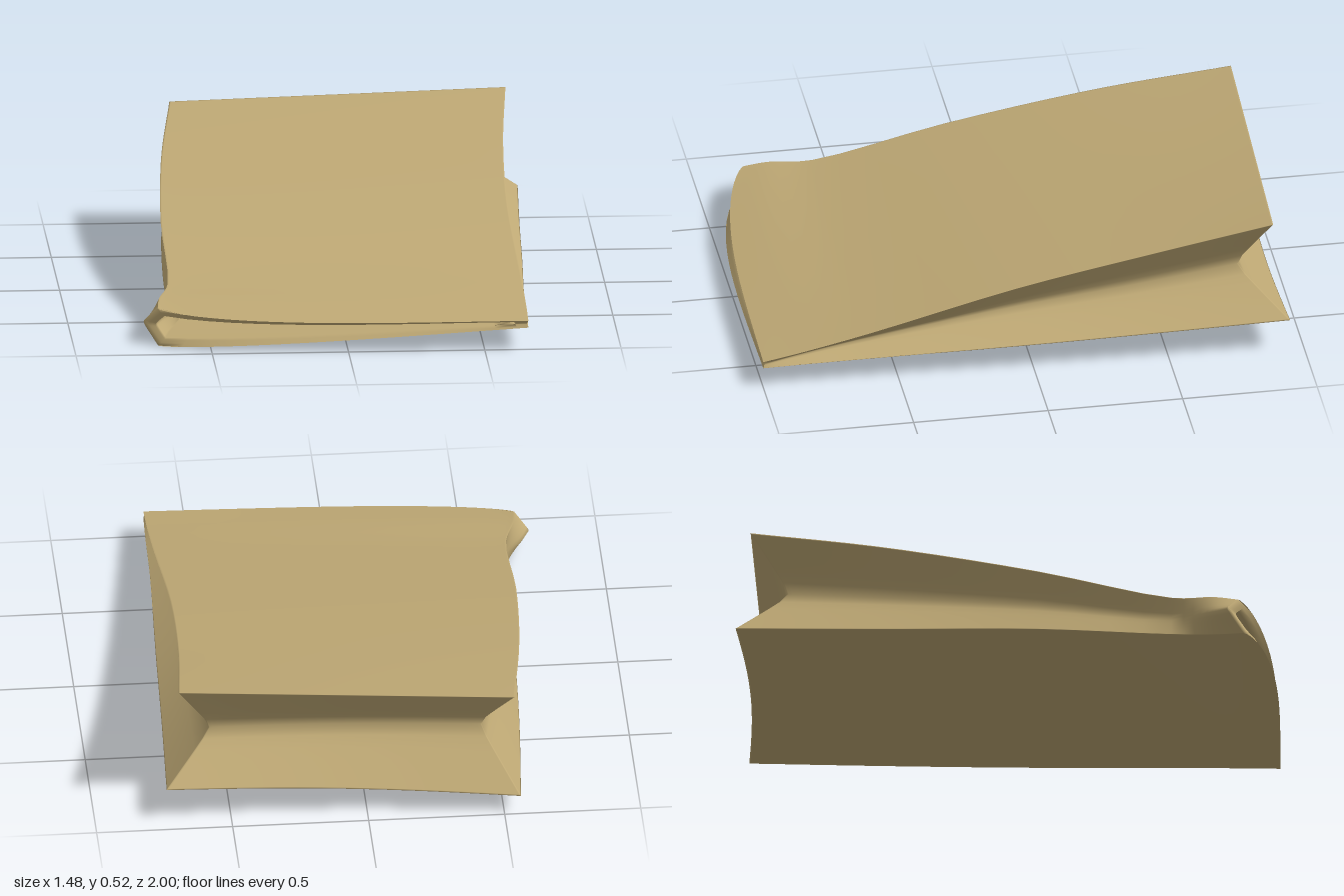
import * as THREE from 'three';
import { mergeVertices } from 'three/addons/utils/BufferGeometryUtils.js';
import { ParametricGeometry } from 'three/addons/geometries/ParametricGeometry.js';

const rail = (...pts) => new THREE.CatmullRomCurve3(pts.map(p => new THREE.Vector3(...p)));

// Edge and fold lines, each from the mouth (front) to the folded base (back): top, fold, bottom
const RIGHT_SIDE = [ // -x
  rail([-.69, .14, .84], [-.68, .155, .75], [-.64, .17, .6], [-.635, .28, .1], [-.6, .39, -.45], [-.54, .475, -.945]),
  rail([-.74, .08, .8], [-.71, .08, .74], [-.62, .1, .6], [-.57, .17, .1], [-.5, .23, -.4], [-.43, .28, -.81]),
  rail([-.69, .004, .86], [-.67, .008, .76], [-.635, .025, .6], [-.625, .05, .1], [-.6, .06, -.45], [-.56, .08, -1]),
];
const LEFT_SIDE = [ // +x
  rail([.66, .112, 1], [.66, .14, .85], [.655, .192, .6], [.64, .32, .05], [.655, .425, -.45], [.69, .525, -.89]),
  rail([.655, .1, .995], [.63, .115, .85], [.6, .14, .6], [.57, .2, .05], [.57, .25, -.4], [.57, .3, -.78]),
  rail([.66, .086, 1], [.665, .09, .85], [.67, .093, .6], [.695, .105, .05], [.715, .12, -.45], [.738, .14, -.945]),
];

// Point on a side gusset: w runs top to bottom, with a soft crease at the fold
function gusset(rails, t, w) {
  const [top, fold, bottom] = rails.map(r => r.getPoint(t));
  const soft = d => Math.sqrt(d * d + .01);
  const m = (soft(1) - soft(2 * w - 1)) / (soft(1) - soft(0));
  const mid = top.clone().add(bottom).multiplyScalar(.5);
  return top.lerp(bottom, w).addScaledVector(fold.sub(mid), m);
}

// Point in the bag's volume: t front to back, u across, w top to bottom
function bagPoint(t, u, w) {
  const p = gusset(RIGHT_SIDE, t, w).lerp(gusset(LEFT_SIDE, t, w), u);
  const lip = Math.sin(Math.PI * Math.pow(u, .6)) * (1 - t) ** 3;
  p.z += .07 * lip + .03 * w * Math.sin(Math.PI * u) * t ** 3;
  p.y -= .02 * lip * (1 - w);
  return p;
}

// Outer paper: a box bent into the bag, with the mouth left open
function makeShell() {
  let geo = new THREE.BoxGeometry(1, 1, 1, 24, 16, 32);
  const { start, count } = geo.groups[4];
  geo.setIndex(Array.from(geo.index.array).filter((_, i) => i < start || i >= start + count));
  geo.clearGroups();
  geo.deleteAttribute('uv');
  geo.deleteAttribute('normal');
  geo = mergeVertices(geo);
  const pos = geo.attributes.position;
  const ease = v => .5 + .5 * Math.sin(Math.PI * v); // finer rows near the edges
  for (let i = 0; i < pos.count; i++) {
    const p = bagPoint(ease(-pos.getZ(i)), ease(pos.getX(i)), ease(-pos.getY(i)));
    pos.setXYZ(i, p.x, p.y, p.z);
  }
  geo.computeVertexNormals();
  return geo;
}

// Rim and lining: from the lip inward, then back along the inside
function makeLining() {
  const clamp = v => THREE.MathUtils.clamp(v, 0, 1);
  return new ParametricGeometry((a, s, target) => {
    const q = (a % 1) * 4;
    let u = clamp(q) - clamp(q - 2);
    let w = clamp(q - 1) - clamp(q - 3);
    const k = Math.min(1, s / .1);
    u = THREE.MathUtils.lerp(u, .03 + .94 * u, k);
    w = THREE.MathUtils.lerp(w, .16 + .68 * w, k);
    target.copy(bagPoint(Math.max(0, s - .1), u, w));
  }, 64, 20);
}

export function createModel() {
  const group = new THREE.Group();
  group.name = 'foldedPaperBag';
  const paper = new THREE.MeshStandardMaterial({ color: 0xbfa975, side: THREE.DoubleSide });
  const add = (name, geo) => {
    const mesh = new THREE.Mesh(geo, paper);
    mesh.name = name;
    group.add(mesh);
  };
  add('bagShell', makeShell());
  add('mouthLining', makeLining());
  return group;
}
